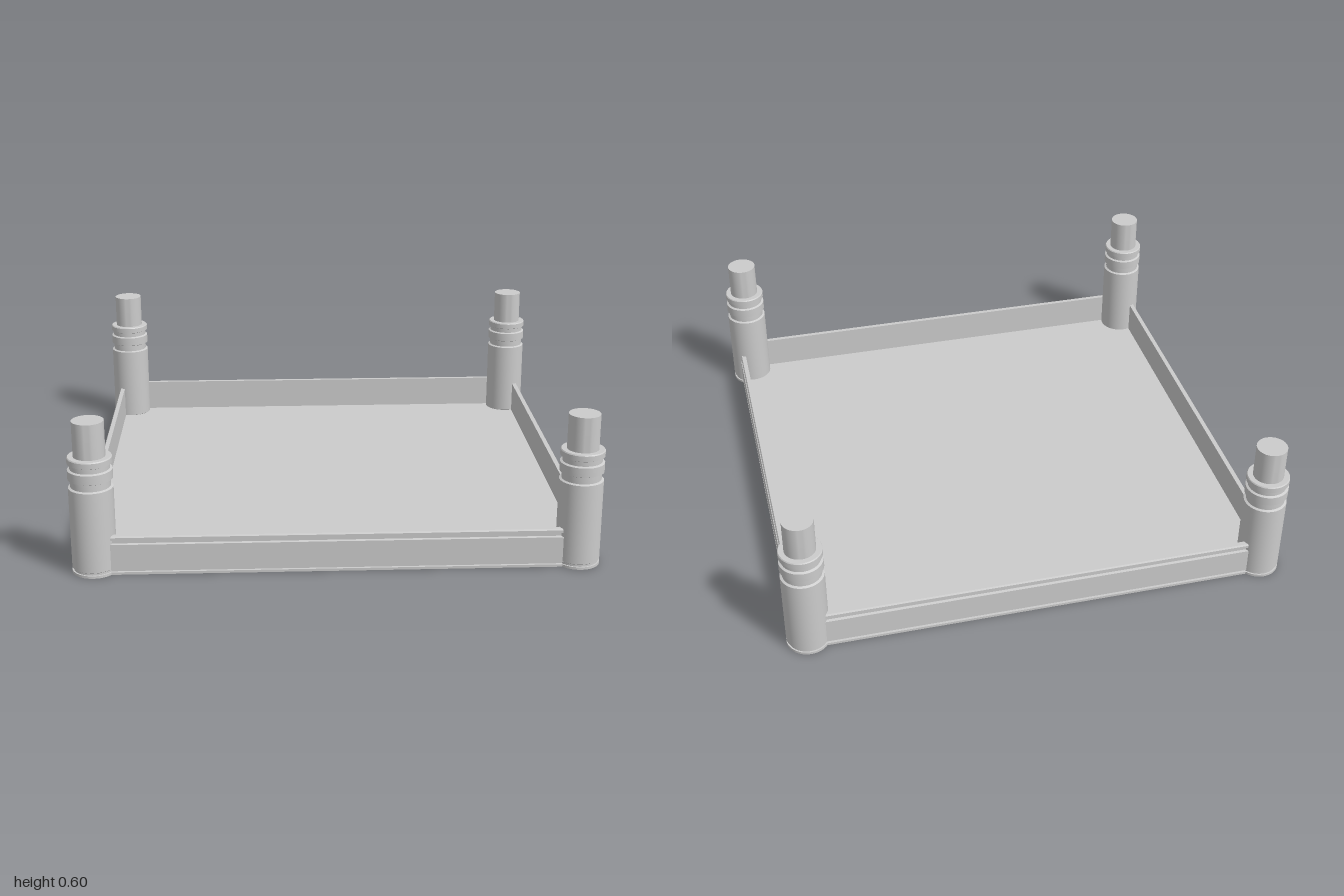
import * as THREE from 'three';
import { toCreasedNormals } from 'three/addons/utils/BufferGeometryUtils.js';

const POST = 0.916;   // post centre offset on x and z
const R = 0.084;      // post radius
const EDGE = 0.968;   // outer face of the walls
const BASE = 0.01;    // base plate thickness

const material = new THREE.MeshStandardMaterial({ color: 0xcccccc });

function addMesh(parent, name, geometry) {
  const mesh = new THREE.Mesh(geometry, material);
  mesh.name = name;
  parent.add(mesh);
  return mesh;
}

const points = (list) => list.map(([x, y]) => new THREE.Vector2(x, y));

export function createModel() {
  const group = new THREE.Group();
  group.name = 'tray';

  // Base plate: square slab with a round foot under each post
  addMesh(group, 'basePlate', new THREE.BoxGeometry(2 * EDGE, BASE, 2 * EDGE))
    .position.y = BASE / 2;

  // Tray floor
  addMesh(group, 'floor', new THREE.BoxGeometry(1.9, 0.01, 1.9))
    .position.y = 0.015;

  // Wall section: undercut foot, flat panel, groove and top rim
  const section = new THREE.Shape(points([
    [0.944, BASE], [0.958, BASE], [0.958, 0.02], [EDGE, 0.02],
    [EDGE, 0.121], [0.957, 0.123], [0.957, 0.136], [0.966, 0.138],
    [0.966, 0.148], [0.962, 0.154], [0.944, 0.154],
  ]));
  const wall = new THREE.ExtrudeGeometry(section, { depth: 2 * POST, bevelEnabled: false });
  wall.translate(0, 0, -POST);
  ['leftWall', 'backWall', 'rightWall', 'frontWall'].forEach((name, i) => {
    addMesh(group, name, wall).rotation.y = i * Math.PI / 2;
  });

  // Turned post: foot, shaft, two collars between grooves, and a peg on top
  const postProfile = points([
    [0, 0], [R, 0], [R, BASE], [0.078, BASE], [0.078, 0.018], [R, 0.022],
    [R, 0.338], [0.075, 0.342], [0.075, 0.368], [R, 0.372],
    [R, 0.408], [0.075, 0.412], [0.075, 0.43], [R, 0.434],
    [R, 0.455], [0.081, 0.459], [0.06, 0.459], [0.06, 0.596], [0, 0.596],
  ]);
  const post = toCreasedNormals(new THREE.LatheGeometry(postProfile, 40), 0.5);
  for (const [xName, x] of [['Left', POST], ['Right', -POST]]) {
    for (const [zName, z] of [['front', POST], ['back', -POST]]) {
      addMesh(group, `${zName}${xName}Post`, post).position.set(x, 0, z);
    }
  }

  return group;
}
